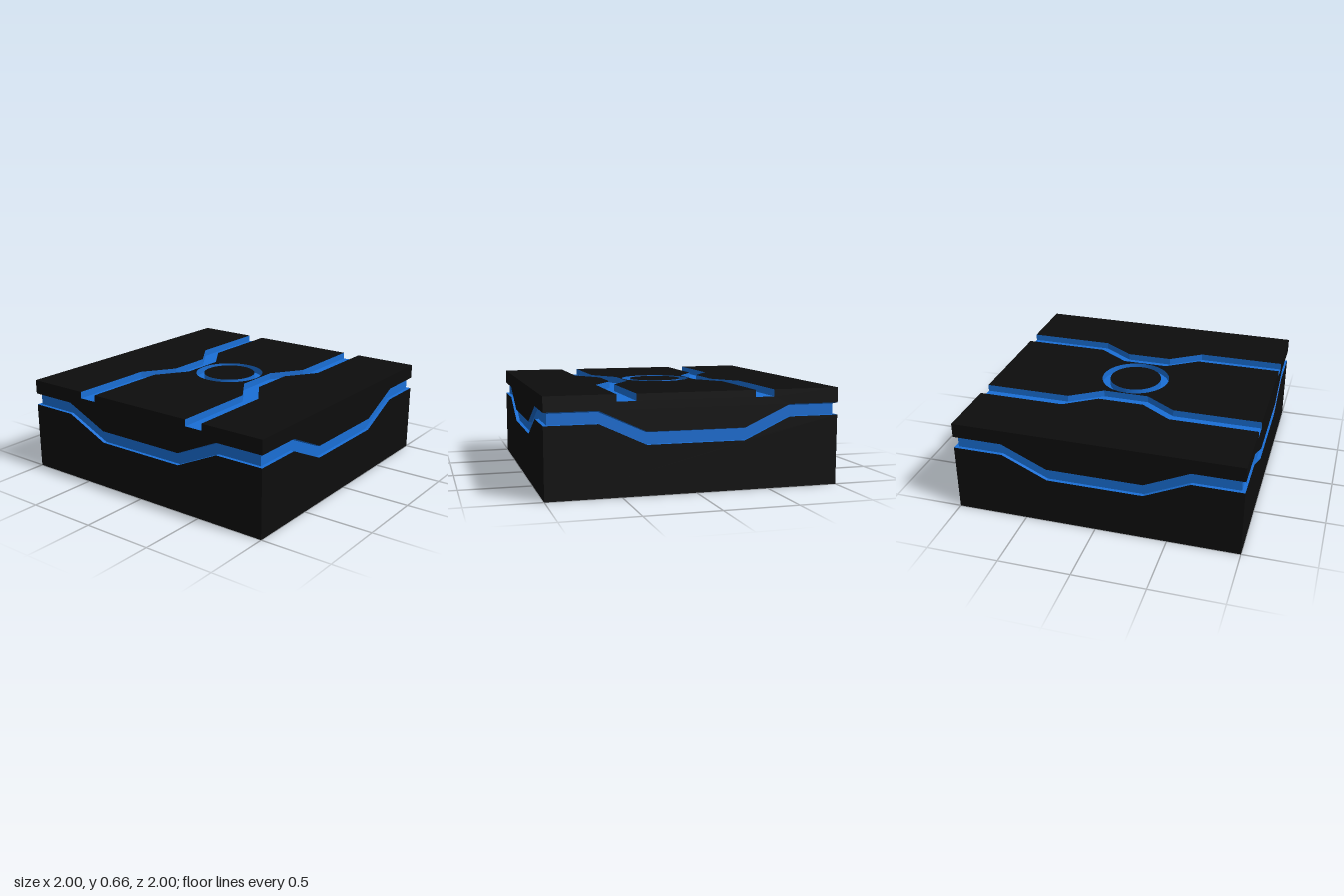
import * as THREE from 'three';

const TOP = 0.663, FLOOR = 0.616, INSET = 0.975;
const black = new THREE.MeshStandardMaterial({ color: 0x0d0d0d, side: THREE.DoubleSide, flatShading: true });
const blue = new THREE.MeshStandardMaterial({ color: 0x1a6fd6, side: THREE.DoubleSide, flatShading: true });
const blueSmooth = new THREE.MeshStandardMaterial({ color: 0x1a6fd6, side: THREE.DoubleSide });

function add(parent, name, geometry, material) {
  const mesh = new THREE.Mesh(geometry, material);
  mesh.name = name;
  parent.add(mesh);
  return mesh;
}

// Strip of quads between two lines of [x, y, z] points
function ribbon(a, b) {
  const pos = [];
  for (let i = 0; i < a.length - 1; i++) {
    pos.push(...a[i], ...b[i], ...b[i + 1], ...a[i], ...b[i + 1], ...a[i + 1]);
  }
  const g = new THREE.BufferGeometry();
  g.setAttribute('position', new THREE.Float32BufferAttribute(pos, 3));
  g.computeVertexNormals();
  return g;
}

const polygon = pts => new THREE.Shape(pts.map(p => new THREE.Vector2(...p)));

// Groove line across a wall, dipping in the middle
const grooveLine = (half, high, low) =>
  [[-half, high], [-0.65, high], [-0.335, low], [0.335, low], [0.65, high], [half, high]];

// Edge of a top channel as [x, z], from back to front
const channelEdge = (wide, narrow, s) =>
  [[s * wide, -1], [s * wide, -0.385], [s * narrow, -0.163], [s * narrow, 0.163], [s * wide, 0.385], [s * wide, 1]];

function makeWall(notched) {
  const wall = new THREE.Group();
  const at = (pts, z) => pts.map(([x, y]) => [x, y, z]);
  const lower = grooveLine(1, 0.478, 0.332), upper = grooveLine(1, 0.562, 0.417);
  const inLower = grooveLine(INSET, 0.478, 0.332), inUpper = grooveLine(INSET, 0.552, 0.41);

  add(wall, 'lowerWall', new THREE.ShapeGeometry(polygon([[-1, 0], [1, 0], ...[...lower].reverse()])), black).position.z = 1;

  // Upper edge is cut where the top channels run out
  const notches = notched
    ? [[0.535, TOP], [0.535, FLOOR], [0.404, FLOOR], [0.404, TOP],
      [-0.404, TOP], [-0.404, FLOOR], [-0.535, FLOOR], [-0.535, TOP]]
    : [];
  add(wall, 'upperWall', new THREE.ShapeGeometry(polygon([...upper, [1, TOP], ...notches, [-1, TOP]])), black).position.z = 1;

  add(wall, 'grooveBack', ribbon(at(inUpper, INSET), at(inLower, INSET)), blue);
  add(wall, 'grooveLowerLedge', ribbon(at(inLower, INSET), at(lower, 1)), blue);
  add(wall, 'grooveUpperLedge', ribbon(at(upper, 1), at(inUpper, INSET)), blue);
  return wall;
}

function makeRing() {
  const ring = new THREE.Group();
  const [r, R] = [0.187, 0.246];
  add(ring, 'ringFloor', new THREE.RingGeometry(r, R, 64).rotateX(-Math.PI / 2), blue).position.y = FLOOR;
  for (const radius of [r, R]) {
    const side = new THREE.CylinderGeometry(radius, radius, TOP - FLOOR, 64, 1, true);
    add(ring, 'ringSide', side, blueSmooth).position.y = (TOP + FLOOR) / 2;
  }
  add(ring, 'ringCentre', new THREE.CircleGeometry(r, 64).rotateX(-Math.PI / 2), black).position.y = TOP;
  return ring;
}

export function createModel() {
  const model = new THREE.Group();
  model.name = 'panelBlock';

  // Four grooved walls
  ['frontWall', 'leftWall', 'backWall', 'rightWall'].forEach((name, k) => {
    const wall = makeWall(k % 2 === 0);
    wall.name = name;
    wall.rotation.y = k * Math.PI / 2;
    model.add(wall);
  });

  // Flat top pieces, drawn as (x, -z) and laid down
  const top = (name, pts, hole) => {
    const shape = polygon(pts.map(([x, z]) => [x, -z]));
    if (hole) shape.holes.push(hole);
    add(model, name, new THREE.ShapeGeometry(shape, 32).rotateX(-Math.PI / 2), black).position.y = TOP;
  };
  const hole = new THREE.Path().absarc(0, 0, 0.246, 0, Math.PI * 2, true);
  top('centreTop', [...channelEdge(0.404, 0.255, 1), ...channelEdge(0.404, 0.255, -1).reverse()], hole);

  // Mirrored side tops and sunken channels
  for (const s of [1, -1]) {
    const side = s > 0 ? 'left' : 'right';
    const outer = channelEdge(0.535, 0.385, s), inner = channelEdge(0.404, 0.255, s);
    const at = (pts, y) => pts.map(([x, z]) => [x, y, z]);
    top(side + 'Top', [...outer, [s, 1], [s, -1]]);
    add(model, side + 'ChannelFloor', ribbon(at(outer, FLOOR), at(inner, FLOOR)), blue);
    add(model, side + 'ChannelOuterSide', ribbon(at(outer, TOP), at(outer, FLOOR)), blue);
    add(model, side + 'ChannelInnerSide', ribbon(at(inner, TOP), at(inner, FLOOR)), blue);
  }

  const ring = makeRing();
  ring.name = 'topRing';
  model.add(ring);
  return model;
}
